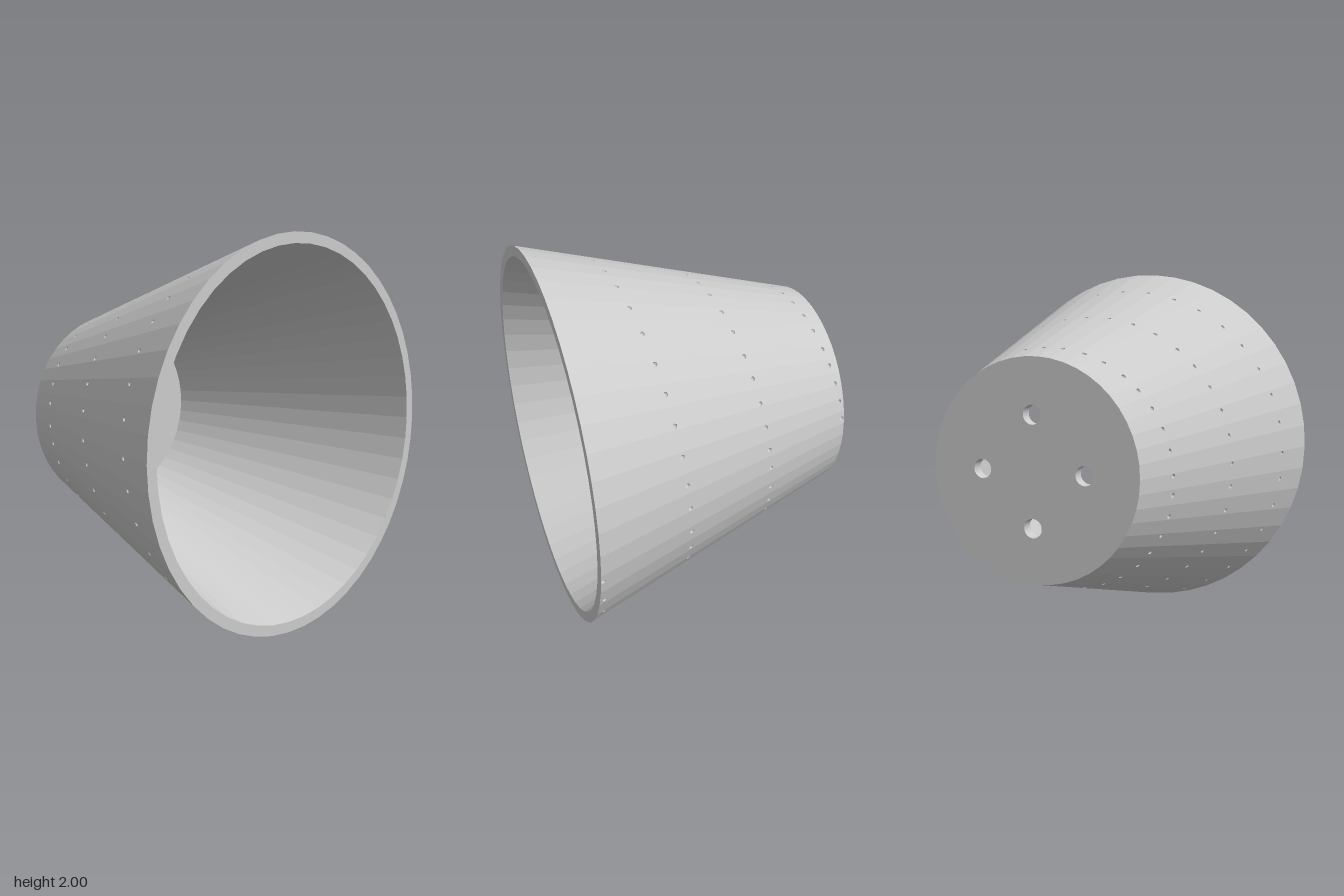
import * as THREE from 'three';
import { mergeGeometries } from 'three/addons/utils/BufferGeometryUtils.js';

const SIDES = 50, HALF = 0.74, FLOOR = 0.06;
const R_FRONT = 1, R_BACK = 0.555, IN_FRONT = 0.945, IN_BACK = 0.52;
const DOT = 0.012, DOTS_PER_TURN = 36, TURNS = 3;

export function createModel() {
  const group = new THREE.Group();
  const mat = new THREE.MeshStandardMaterial({ color: 0xcccccc, flatShading: true });
  const inside = new THREE.MeshStandardMaterial({ color: 0xcccccc, flatShading: true, side: THREE.BackSide });
  const pot = new THREE.Group();
  pot.name = 'pot';
  pot.position.y = Math.cos(Math.PI / SIDES);
  group.add(pot);
  const add = (name, geometry, material = mat) => {
    const mesh = new THREE.Mesh(geometry, material);
    mesh.name = name;
    pot.add(mesh);
    return mesh;
  };

  // Outer wall: one flat panel per side, pierced by a spiral of small dimples
  const step = (2 * Math.PI) / SIDES;
  const apothem = Math.cos(step / 2), halfWidth = Math.sin(step / 2);
  const rise = new THREE.Vector2((R_FRONT - R_BACK) * apothem, 2 * HALF);
  const slant = rise.length();

  const dots = Array.from({ length: SIDES }, () => []);
  const total = DOTS_PER_TURN * TURNS;
  for (let i = 1; i < total; i++) {
    const t = i / total;
    const angle = ((i % DOTS_PER_TURN) / DOTS_PER_TURN) * 2 * Math.PI;
    const side = Math.floor(angle / step + 1e-6) % SIDES;
    const radius = R_BACK + (R_FRONT - R_BACK) * t;
    const limit = radius * halfWidth - DOT * 1.15; // keeps each dimple within its panel
    const across = Math.tan(angle - (side + 0.5) * step) * radius * apothem;
    dots[side].push([THREE.MathUtils.clamp(across, -limit, limit), t * slant]);
  }

  const panels = [], dimples = [];
  for (let k = 0; k < SIDES; k++) {
    const a = (k + 0.5) * step, c = Math.cos(a), s = Math.sin(a);
    const u = new THREE.Vector3(-s, c, 0);
    const v = new THREE.Vector3(c * rise.x, s * rise.x, rise.y).normalize();
    const n = new THREE.Vector3().crossVectors(u, v);
    const place = new THREE.Matrix4().makeBasis(u, v, n)
      .setPosition(c * R_BACK * apothem, s * R_BACK * apothem, -HALF);
    const wb = R_BACK * halfWidth, wf = R_FRONT * halfWidth;
    const panel = new THREE.Shape([[-wb, 0], [wb, 0], [wf, slant], [-wf, slant]]
      .map(([x, y]) => new THREE.Vector2(x, y)));
    for (const [x, y] of dots[k]) {
      panel.holes.push(new THREE.Path().absarc(x, y, DOT, 0, 2 * Math.PI, true));
      dimples.push(new THREE.SphereGeometry(DOT, 12, 4, 0, 2 * Math.PI, 0, Math.PI / 2)
        .rotateX(-Math.PI / 2).translate(x, y, 0).applyMatrix4(place));
    }
    panels.push(new THREE.ShapeGeometry(panel, 6).applyMatrix4(place));
  }
  add('outerWall', mergeGeometries(panels));
  add('spiralDimples', mergeGeometries(dimples), inside);

  // Inner wall, from the front rim down to the floor
  const depth = 2 * HALF - FLOOR;
  add('innerWall', new THREE.CylinderGeometry(IN_FRONT, IN_BACK, depth, SIDES, 1, true)
    .rotateX(Math.PI / 2).rotateZ(Math.PI / 2).translate(0, 0, FLOOR / 2), inside);

  // Front rim and the matching ring around the back
  add('rim', new THREE.RingGeometry(IN_FRONT, R_FRONT, SIDES).translate(0, 0, HALF));
  add('backRing', new THREE.RingGeometry(IN_BACK, R_BACK, SIDES).translate(0, 0, -HALF), inside);

  // Floor with four drain holes
  const floor = new THREE.Shape().absarc(0, 0, IN_BACK, 0, 2 * Math.PI, false);
  for (let i = 0; i < 4; i++) {
    const a = (i * Math.PI) / 2;
    floor.holes.push(new THREE.Path()
      .absarc(0.277 * Math.cos(a), 0.277 * Math.sin(a), 0.048, 0, 2 * Math.PI, true));
  }
  add('floor', new THREE.ExtrudeGeometry(floor,
    { depth: FLOOR, bevelEnabled: false, curveSegments: SIDES / 2 }).translate(0, 0, -HALF));

  return group;
}
